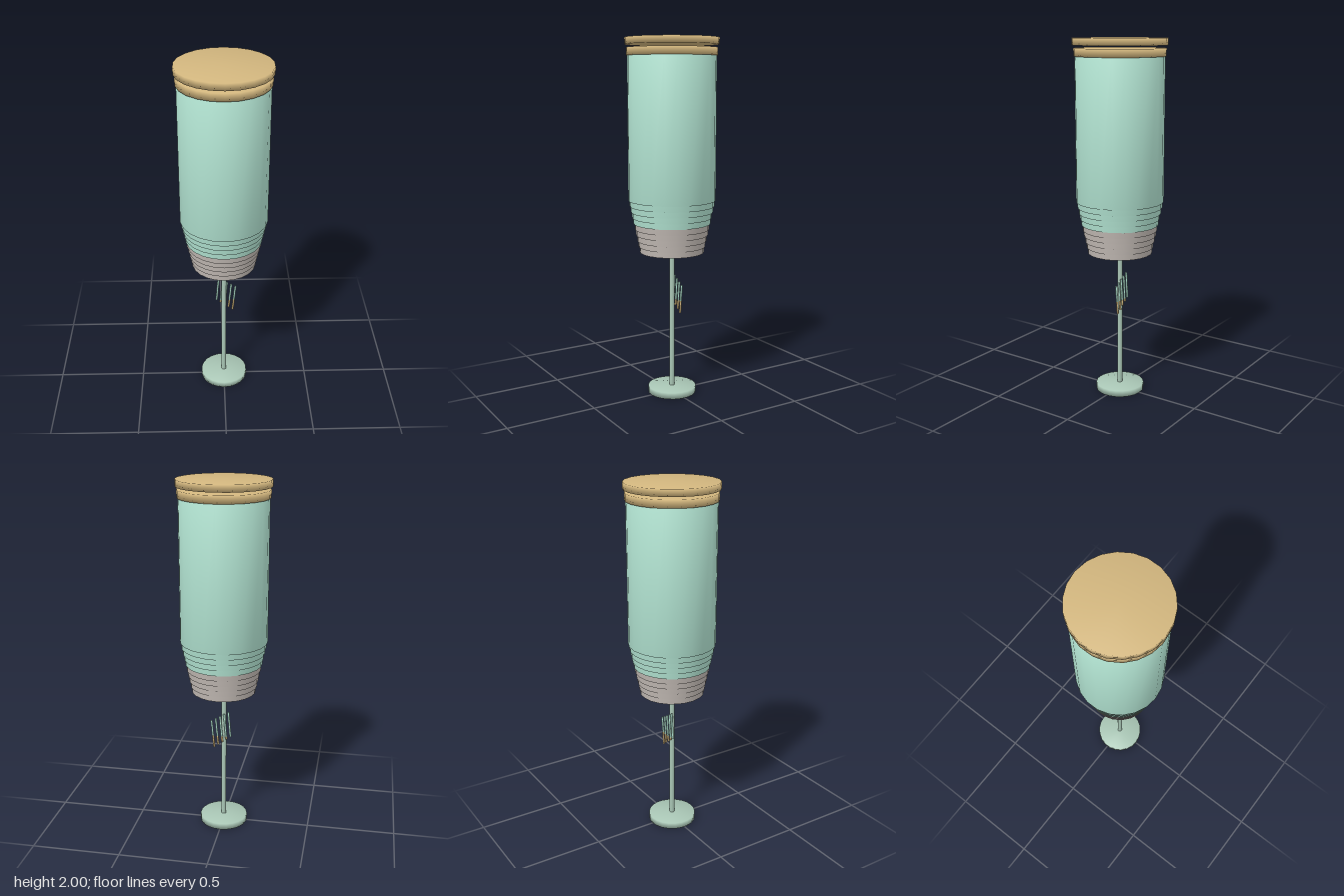
import * as THREE from 'three';
import { mergeVertices } from 'three/addons/utils/BufferGeometryUtils.js';

const SIDES = 22;
const paint = (color) => new THREE.MeshStandardMaterial({ color });
const teal = paint(0xb4e6d4);
const tan = paint(0xd2b67e);
const warmGrey = paint(0xc2bab4);
const sage = paint(0xa9c6b5);

// Cylinder whose caps and wall share normals, so it shades softly all over
function softCylinder(radius, height, sides) {
  const geometry = new THREE.CylinderGeometry(radius, radius, height, sides);
  geometry.deleteAttribute('normal');
  geometry.deleteAttribute('uv');
  const merged = mergeVertices(geometry, 1e-5);
  merged.computeVertexNormals();
  return merged;
}

export function createModel() {
  const model = new THREE.Group();
  model.name = 'cylinderOnStand';

  function addDisc(name, radius, bottom, top, material, sides = SIDES) {
    const mesh = new THREE.Mesh(softCylinder(radius, top - bottom, sides), material);
    mesh.name = name;
    mesh.position.y = (bottom + top) / 2;
    model.add(mesh);
  }

  // Stand
  addDisc('base', 0.137, 0, 0.036, sage);
  addDisc('stem', 0.014, 0.02, 0.84, sage, 12);

  // Body: nested shells, each narrower and reaching lower, make the stepped taper
  for (let i = 0; i < 10; i++) {
    const bottom = 1.114 - 0.0325 * i;
    const radius = 0.243 - 0.007 * i;
    addDisc(i < 5 ? 'bodyShell' : 'lowerShell', radius, bottom, 1.925 - 0.004 * i, i < 5 ? teal : warmGrey);
  }

  // Collar and the lid hovering just above it
  addDisc('collar', 0.249, 1.904, 1.947, tan);
  addDisc('lid', 0.257, 1.962, 2, tan);

  // Row of slanted sticks behind the stem, with tips that grow along the row
  const sticks = new THREE.Group();
  sticks.name = 'sticks';
  for (let i = 0; i < 5; i++) {
    const top = new THREE.Vector3(-0.03 + 0.0245 * i, 0.697 - 0.0145 * i, -0.022);
    const bottom = new THREE.Vector3(-0.042 + 0.0235 * i, 0.546 - 0.018 * i, -0.022);
    const joint = bottom.clone().lerp(top, 0.11 * i);
    const addPiece = (name, from, to, material) => {
      const span = to.clone().sub(from);
      const mesh = new THREE.Mesh(softCylinder(0.006, span.length(), 8), material);
      mesh.name = name;
      mesh.position.copy(from).lerp(to, 0.5);
      mesh.quaternion.setFromUnitVectors(new THREE.Vector3(0, 1, 0), span.normalize());
      sticks.add(mesh);
    };
    addPiece('stick', joint, top, teal);
    if (i > 0) addPiece('stickTip', bottom, joint, tan);
  }
  model.add(sticks);

  return model;
}
